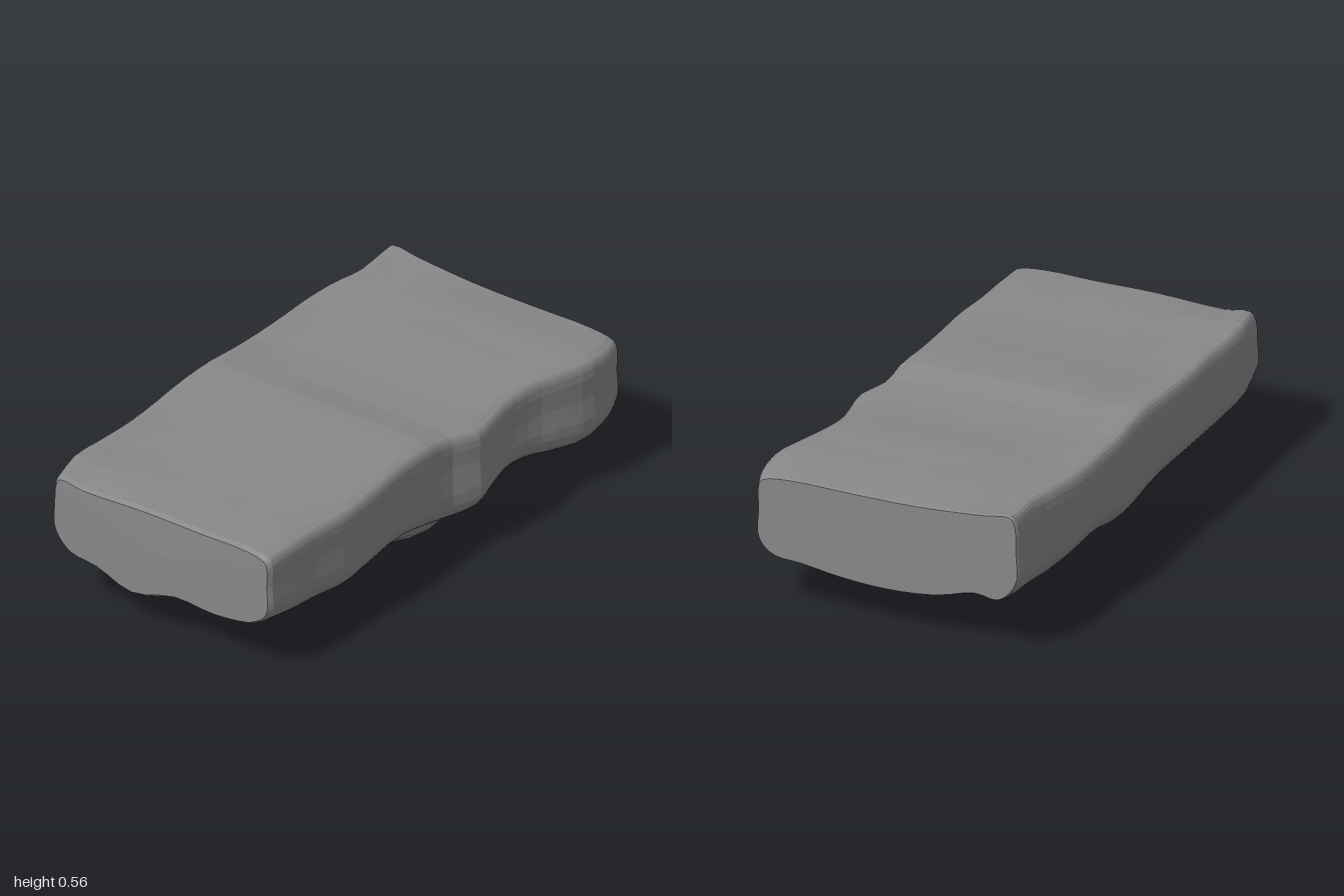
import * as THREE from 'three';

// Stations along the slab: x, front z, back z, top y at front and back,
// front lower edge y, then underside y at the front ridge, middle and rear
const stations = [
  [-0.975, 0.45, -0.535, 0.515, 0.52, 0.23, 0.18, 0.19, 0.14],
  [-0.84, 0.455, -0.56, 0.52, 0.535, 0.21, 0.09, 0.15, 0.06],
  [-0.7, 0.46, -0.558, 0.52, 0.53, 0.20, 0.10, 0.14, 0.115],
  [-0.55, 0.475, -0.55, 0.52, 0.53, 0.19, 0.08, 0.12, 0.13],
  [-0.4, 0.47, -0.555, 0.525, 0.53, 0.20, 0.05, 0.10, 0.125],
  [-0.2, 0.46, -0.558, 0.54, 0.545, 0.21, 0.07, 0.08, 0.10],
  [-0.05, 0.465, -0.55, 0.545, 0.555, 0.19, 0.035, 0.04, 0.06],
  [0.08, 0.47, -0.548, 0.525, 0.545, 0.165, 0.0, 0.012, 0.03],
  [0.2, 0.512, -0.552, 0.52, 0.535, 0.175, 0.04, 0.04, 0.05],
  [0.3, 0.50, -0.55, 0.52, 0.535, 0.20, 0.07, 0.065, 0.07],
  [0.42, 0.48, -0.55, 0.53, 0.535, 0.215, 0.075, 0.068, 0.075],
  [0.55, 0.49, -0.548, 0.54, 0.54, 0.21, 0.07, 0.065, 0.075],
  [0.68, 0.53, -0.53, 0.54, 0.548, 0.195, 0.095, 0.09, 0.10],
  [0.8, 0.562, -0.505, 0.54, 0.55, 0.19, 0.12, 0.11, 0.125],
  [0.93, 0.555, -0.51, 0.53, 0.555, 0.21, 0.16, 0.145, 0.16],
  [0.99, 0.535, -0.51, 0.525, 0.56, 0.225, 0.172, 0.162, 0.178],
];

const AROUND = 63;
const ALONG = 32;

// Closed outline of one station: down the front, under, up the back, over the top
function outline([x, zf, zb, topF, topB, edge, ridge, middle, rear]) {
  const back = 0.21 + (edge - 0.2) * 0.8;
  const topMid = Math.min(topF, topB);
  const pts = [
    [zf - 0.02, topF - 0.02], [zf - 0.003, topF - 0.05],
    [zf - 0.004, 0.38], [zf, edge + 0.06], [zf - 0.02, edge + 0.015],
    [zf - 0.07, edge - 0.02], [0.36, Math.min(edge - 0.03, ridge + 0.09)],
    [0.2, ridge], [0.02, middle], [-0.18, rear],
    [-0.34, Math.min(rear + 0.055, back - 0.01)],
    [zb + 0.08, back - 0.02], [zb + 0.025, back + 0.025],
    [zb, back + 0.08], [zb + 0.002, 0.4], [zb + 0.008, topB - 0.035],
    [zb + 0.03, topB - 0.003], [zb + 0.13, topB - 0.015], [-0.12, topMid],
    [0.15, topMid - 0.003], [zf - 0.12, topF - 0.002],
  ].map(([z, y]) => new THREE.Vector3(x, y, z));
  const curve = new THREE.CatmullRomCurve3(pts, true, 'centripetal');
  return Array.from({ length: AROUND }, (_, j) => curve.getPoint(j / AROUND));
}

// Pulls an end outline inward to make the softened rim of an end face
function rim(ring, x, inset) {
  return ring.map((p) => new THREE.Vector3(
    x, 0.35 + (p.y - 0.35) * (1 - inset * 2), p.z * (1 - inset)));
}

function slabGeometry() {
  // Lengthwise curves join matching points of all stations
  const keys = stations.map(outline);
  const lines = Array.from({ length: AROUND }, (_, j) =>
    new THREE.CatmullRomCurve3(keys.map((ring) => ring[j]), false, 'centripetal'));
  const rings = Array.from({ length: ALONG + 1 }, (_, i) =>
    lines.map((line) => line.getPoint(i / ALONG)));
  rings.unshift(rim(rings[0], -0.995, 0.025));
  rings.push(rim(rings[rings.length - 1], 1, 0.01));

  const positions = rings.flat().flatMap((p) => [p.x, Math.max(p.y, 0), p.z]);
  const index = [];
  for (let i = 0; i < rings.length - 1; i++) {
    for (let j = 0; j < AROUND; j++) {
      const k = (j + 1) % AROUND;
      const a = i * AROUND + j, b = i * AROUND + k;
      const c = b + AROUND, d = a + AROUND;
      index.push(a, b, c, a, c, d);
    }
  }
  // End faces
  const endCentre = positions.length / 3;
  positions.push(-1, 0.35, -0.04, 1, 0.35, 0.01);
  const last = (rings.length - 1) * AROUND;
  for (let j = 0; j < AROUND; j++) {
    const k = (j + 1) % AROUND;
    index.push(endCentre, k, j, endCentre + 1, last + j, last + k);
  }
  const indexed = new THREE.BufferGeometry();
  indexed.setAttribute('position', new THREE.Float32BufferAttribute(positions, 3));
  indexed.setIndex(index);
  // Separate faces give the chiselled facets
  const geometry = indexed.toNonIndexed();
  geometry.computeVertexNormals();
  return geometry;
}

export function createModel() {
  const group = new THREE.Group();
  group.name = 'rockSlab';
  const slab = new THREE.Mesh(
    slabGeometry(), new THREE.MeshStandardMaterial({ color: 0x888888 }));
  slab.name = 'stoneSlab';
  group.add(slab);
  return group;
}
